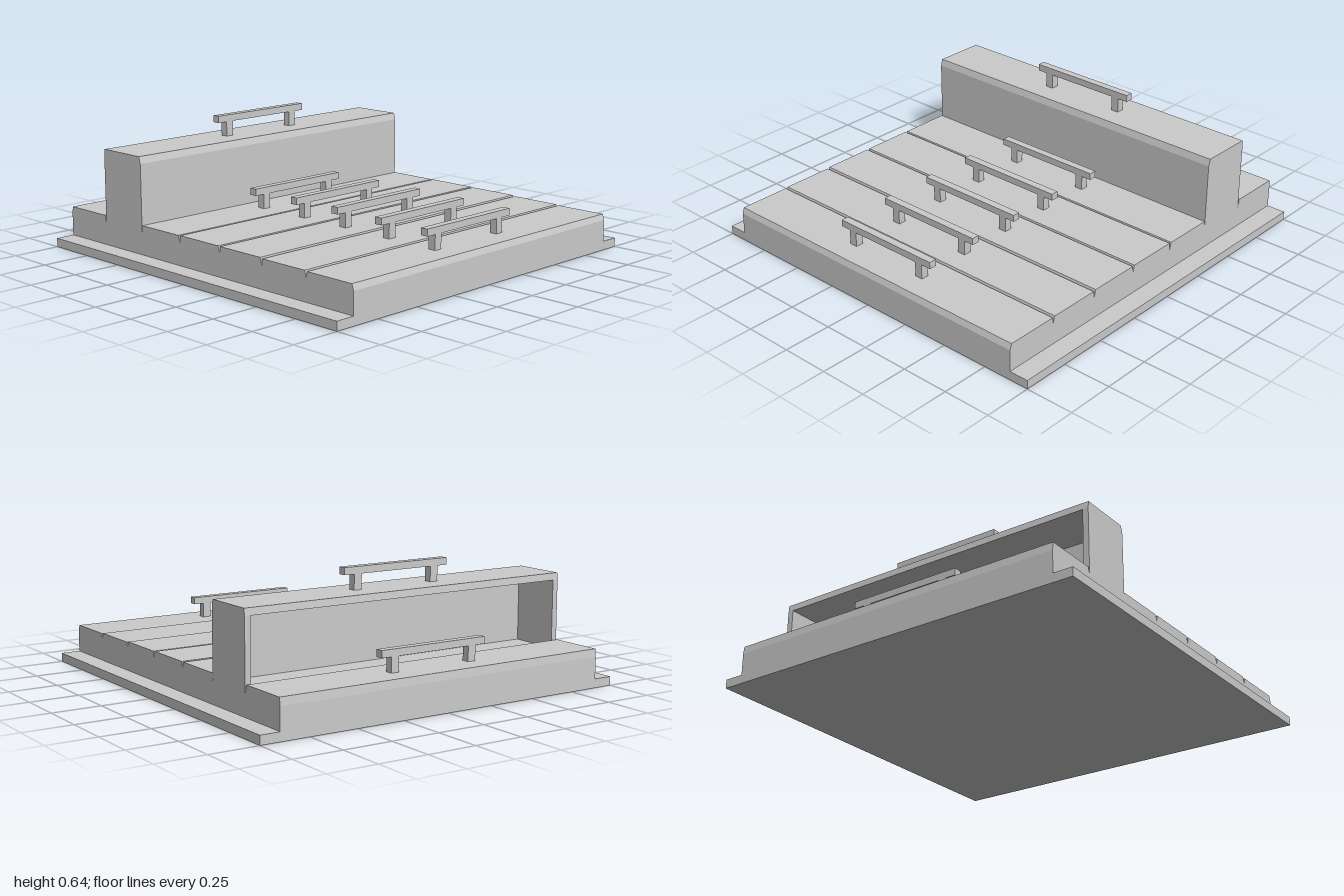
import * as THREE from 'three';

const material = new THREE.MeshStandardMaterial({ color: 0xcccccc, flatShading: true });

// Box given by its lower and upper limits on each axis
function box(name, [x0, x1], [y0, y1], [z0, z1]) {
  const g = new THREE.BoxGeometry(x1 - x0, y1 - y0, z1 - z0);
  g.translate((x0 + x1) / 2, (y0 + y1) / 2, (z0 + z1) / 2);
  const mesh = new THREE.Mesh(g, material);
  mesh.name = name;
  return mesh;
}

// Drawer front: a slab whose long edges lean in slightly towards the top
function drawerFront(y0, y1, z0, z1) {
  const mesh = box('drawerFront', [-0.9, 0.9], [y0, y1], [z0, z1]);
  const p = mesh.geometry.attributes.position;
  for (let i = 0; i < p.count; i++) {
    if (p.getY(i) < (y0 + y1) / 2) continue;
    p.setZ(i, p.getZ(i) > (z0 + z1) / 2 ? z1 - 0.01 : z0 + 0.004);
  }
  mesh.geometry.computeVertexNormals();
  return mesh;
}

// Bar handle on two square posts
function handle(y, z) {
  const group = new THREE.Group();
  group.name = 'handle';
  const depth = [z - 0.02, z + 0.02];
  group.add(box('handleBar', [-0.295, 0.295], [y + 0.075, y + 0.11], depth));
  for (const x of [-0.22, 0.22])
    group.add(box('handlePost', [x - 0.021, x + 0.021], [y - 0.005, y + 0.075], depth));
  return group;
}

export function createModel() {
  const model = new THREE.Group();
  model.name = 'drawerChest';
  const bodyTop = 0.155, count = 7, pitch = 2 / count, open = 5;

  // Wide back plate and cabinet body
  model.add(box('basePlate', [-1, 1], [0, 0.045], [-1, 1]));
  model.add(box('cabinetBody', [-0.9, 0.9], [0.045, bodyTop], [-1, 1]));

  const tops = [0.185, 0.188, 0.192, 0.193, 0.192, 0.53, 0.194];
  const handleZ = [0.855, 0.57, 0.283, 0, -0.295, -0.573, -0.868];
  for (let i = 0; i < count; i++) {
    const drawer = new THREE.Group();
    drawer.name = i === open ? 'openDrawer' : 'drawer';
    const z1 = 1 - i * pitch, z0 = z1 - pitch;
    const frontBase = i === open ? tops[i] - 0.035 : bodyTop;
    drawer.add(drawerFront(frontBase, tops[i], z0, z1));
    drawer.add(handle(tops[i], handleZ[i]));

    // Pulled-out drawer: floor and two sides, open along one long side
    if (i === open) {
      const height = [bodyTop, frontBase];
      drawer.add(box('drawerFloor', [-0.9, 0.9], height, [z1 - 0.03, z1]));
      for (const s of [-1, 1]) {
        const x = s < 0 ? [-0.9, -0.87] : [0.87, 0.9];
        drawer.add(box('drawerSide', x, height, [z0, z1 - 0.03]));
      }
    }
    model.add(drawer);
  }
  return model;
}
